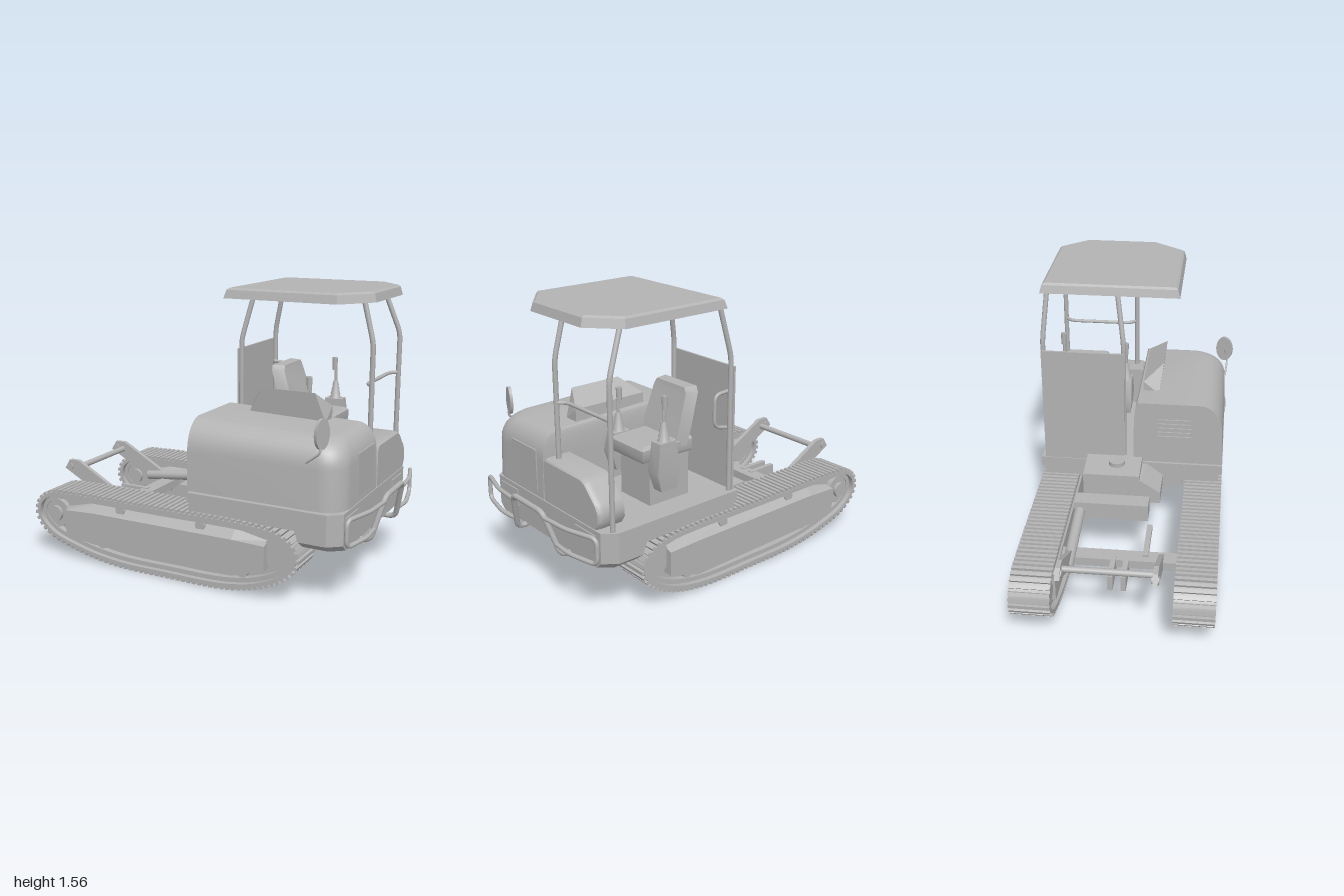
import * as THREE from 'three';
import { toCreasedNormals } from 'three/addons/utils/BufferGeometryUtils.js';

const V = (p) => new THREE.Vector3(...p);

export function createModel() {
  const root = new THREE.Group();
  const grey = new THREE.MeshStandardMaterial({ color: 0xb3b3b3 });
  grey.name = 'plain grey';

  const add = (name, geo, parent = root) => {
    const m = new THREE.Mesh(geo, grey);
    m.name = name;
    parent.add(m);
    return m;
  };
  // Box from its limits on each axis
  const box = (name, x0, x1, y0, y1, z0, z1) => {
    const m = add(name, new THREE.BoxGeometry(x1 - x0, y1 - y0, z1 - z0));
    m.position.set((x0 + x1) / 2, (y0 + y1) / 2, (z0 + z1) / 2);
    return m;
  };
  // Cylinder along z or y
  const cyl = (name, r, len, x, y, z, axis = 'z', parent = root, r2 = r) => {
    const g = new THREE.CylinderGeometry(r2, r, len, 24);
    if (axis === 'z') g.rotateX(Math.PI / 2);
    const m = add(name, g, parent);
    m.position.set(x, y, z);
    return m;
  };
  // Side profile (x, y) extruded from z0 to z1
  const plate = (name, pts, z0, z1) => {
    const s = new THREE.Shape(pts.map((p) => new THREE.Vector2(...p)));
    const m = add(name, new THREE.ExtrudeGeometry(s, { depth: z1 - z0, bevelEnabled: false }));
    m.position.z = z0;
    return m;
  };
  // Bent pipe with rounded corners
  const pipe = (name, r, pts, bend = 0.04) => {
    const path = new THREE.CurvePath(), v = pts.map(V);
    let from = v[0];
    for (let i = 1; i < v.length - 1; i++) {
      const toward = (q) => v[i].clone().add(q.clone().sub(v[i]).setLength(Math.min(bend, q.distanceTo(v[i]) * 0.45)));
      const a = toward(v[i - 1]), b = toward(v[i + 1]);
      path.add(new THREE.LineCurve3(from, a));
      path.add(new THREE.QuadraticBezierCurve3(a, v[i], b));
      from = b;
    }
    path.add(new THREE.LineCurve3(from, v[v.length - 1]));
    return add(name, new THREE.TubeGeometry(path, 14 * v.length, r, 10));
  };
  // Convex cross-sections joined into a closed solid
  const loft = (name, rings, crease = 0.5, parent = root) => {
    const n = rings[0].length, last = (rings.length - 1) * n, idx = [];
    for (let r = 0; r < rings.length - 1; r++)
      for (let i = 0; i < n; i++) {
        const a = r * n + i, b = r * n + (i + 1) % n;
        idx.push(a, b, b + n, a, b + n, a + n);
      }
    for (let i = 1; i < n - 1; i++) idx.push(0, i + 1, i, last, last + i, last + i + 1);
    const p = rings.flat().map(V);
    let vol = 0;
    for (let i = 0; i < idx.length; i += 3)
      vol += p[idx[i]].dot(p[idx[i + 1]].clone().cross(p[idx[i + 2]]));
    if (vol < 0) idx.reverse();
    const g = new THREE.BufferGeometry().setFromPoints(p);
    g.setIndex(idx);
    return add(name, toCreasedNormals(g, crease), parent);
  };
  const level = (pts, y) => pts.map(([x, z]) => [x, y, z]);

  // Tracks
  const course = new THREE.CatmullRomCurve3([
    [-0.76, 0.382], [-0.89, 0.37], [-0.97, 0.31], [-0.98, 0.22], [-0.9, 0.13], [-0.7, 0.06], [-0.45, 0.019],
    [-0.1, 0.014], [0.25, 0.022], [0.45, 0.065], [0.59, 0.14], [0.65, 0.225], [0.63, 0.305], [0.54, 0.365],
    [0.4, 0.385], [-0.2, 0.386]].map(([x, y]) => new THREE.Vector3(x, y, 0)), true);
  const loop = course.getSpacedPoints(120).slice(0, 120);
  const inward = (d) => loop.map((p, i) => {
    const t = course.getTangentAt(i / 120);
    return new THREE.Vector2(p.x - t.y * d, p.y + t.x * d);
  });
  const ring = (outer, inner, w) => {
    const s = new THREE.Shape(outer);
    if (inner) s.holes.push(new THREE.Path(inner));
    const g = new THREE.ExtrudeGeometry(s, { depth: w, bevelEnabled: false });
    g.translate(0, 0, -w / 2);
    return toCreasedNormals(g, 0.5);
  };
  const LUGS = 106;
  const lugGeo = new THREE.BoxGeometry(0.019, 0.018, 0.215);
  for (const [name, z] of [['frontTrack', 0.408], ['rearTrack', -0.433]]) {
    const track = new THREE.Group();
    track.name = name;
    track.position.z = z;
    root.add(track);
    add('trackBelt', ring(inward(0), inward(0.02), 0.215), track);
    add('trackGuideBand', ring(inward(0.02), inward(0.045), 0.16), track);
    add('trackWeb', ring(inward(0.04), null, 0.09), track);
    for (let i = 0; i < LUGS; i++) {
      const p = course.getPointAt(i / LUGS), t = course.getTangentAt(i / LUGS);
      const lug = add('trackLug', lugGeo, track);
      lug.position.set(p.x + t.y * 0.006, p.y - t.x * 0.006, 0);
      lug.rotation.z = Math.atan2(t.y, t.x);
    }
    // Frame with a sloping top that narrows towards the middle
    const section = (x, low, shoulder, top) => [[x, low, 0.1], [x, shoulder, 0.1], [x, top, 0.05],
      [x, top, -0.05], [x, shoulder, -0.1], [x, low, -0.1]];
    loft('trackFrame', [section(-0.79, 0.125, 0.28, 0.29), section(-0.6, 0.105, 0.29, 0.338),
      section(0.28, 0.09, 0.29, 0.335), section(0.47, 0.15, 0.285, 0.3)], 0.1, track);
    for (const x of [-0.43, 0.08]) cyl('carrierRoller', 0.028, 0.16, x, 0.325, 0, 'z', track);
    for (let i = 0; i < 6; i++) cyl('trackRoller', 0.035, 0.15, -0.56 + i * 0.178, 0.115, 0, 'z', track);
    cyl('sprocket', 0.085, 0.15, -0.87, 0.245, 0, 'z', track);
    cyl('sprocketHub', 0.045, 0.19, -0.87, 0.245, 0, 'z', track);
    cyl('idler', 0.09, 0.13, 0.54, 0.25, 0, 'z', track);
  }

  // Undercarriage and blade arms
  box('crossBeam', -0.62, -0.53, 0.235, 0.285, -0.33, 0.31);
  box('centreFrame', 0.08, 0.66, 0.31, 0.4, -0.3, 0.28);
  for (const z of [-0.045, 0.025]) box('beamLug', -0.77, -0.58, 0.2, 0.29, z - 0.014, z + 0.014);
  const arm = [[-1, 0.43], [-0.965, 0.485], [-0.9, 0.485], [-0.6, 0.32], [-0.54, 0.28], [-0.56, 0.21], [-0.62, 0.23]];
  for (const z of [-0.28, 0.21]) {
    plate('bladeArm', arm, z - 0.013, z + 0.013);
    cyl('armPin', 0.02, 0.04, -0.96, 0.445, z);
  }
  cyl('bladeRod', 0.017, 0.49, -0.915, 0.44, -0.035);
  const ram = cyl('bladeCylinder', 0.03, 0.45, -0.5, 0.32, -0.278, 'y');
  ram.rotation.z = Math.PI / 2 + 0.12;
  box('bladeHose', -0.58, -0.3, 0.27, 0.3, 0.11, 0.14);
  box('pivotBlock', -0.27, -0.17, 0.3, 0.4, -0.31, 0.11);
  plate('swingBlock', [[-0.17, 0.36], [0.03, 0.36], [0.03, 0.545], [-0.17, 0.53]], -0.27, 0.05);
  const swingSide = [[-0.17, 0.04], [0.03, -0.02], [0.03, 0.17], [-0.17, 0.17]];
  loft('swingBlockSide', [level(swingSide, 0.36), level(swingSide, 0.43), level([[-0.17, 0.04], [0.03, -0.02], [0.03, 0.08], [-0.17, 0.06]], 0.5)]);
  cyl('swingCap', 0.047, 0.04, -0.05, 0.54, -0.09, 'y');

  // Deck and rear weight
  const plan = (x0, d) => [[x0, -0.545 + d], [0.81, -0.545 + d], [0.88, -0.49 + d], [0.88, 0.46 - d], [0.81, 0.515 - d], [x0, 0.515 - d]];
  loft('deck', [level(plan(0.02, 0), 0.455), level(plan(0.02, 0), 0.51)], 0.1);
  loft('deckUnderside', [level(plan(0.02, 0.02), 0.395), level(plan(0.02, 0.02), 0.455)], 0.1);
  loft('rearWeight', [level(plan(0.67, 0.04), 0.31), level(plan(0.66, 0), 0.345), level(plan(0.62, 0), 0.455)], 0.1);
  for (const [a, b] of [[0.265, 0.435], [-0.45, -0.28]]) box('rearLamp', 0.878, 0.886, 0.385, 0.485, a, b);

  // Engine hood with rounded shoulders
  const hoodRing = (y, dx, dz, di, top) => {
    const x1 = 0.885 - dx, z1 = 0.513 - dz, r = 0.13, p = [[0.02, 0.0 + di], [0.02, z1]];
    for (let i = 0; i <= 8; i++) {
      const a = Math.PI / 2 * (1 - i / 8);
      p.push([x1 - r + r * Math.cos(a), z1 - r + r * Math.sin(a)]);
    }
    p.push([x1, 0.0 + di]);
    return p.map(([x, z]) => [x, y + top * 0.025 * (0.88 - x) / 0.86, z]);
  };
  const hood = [hoodRing(0.52, 0, 0, 0, 0), hoodRing(0.73, 0.005, 0.008, 0, 0)];
  for (let i = 1; i <= 8; i++) {
    const a = i / 8 * Math.PI / 2, c = 1 - Math.cos(a);
    hood.push(hoodRing(0.73 + 0.145 * Math.sin(a), 0.005 + 0.1 * c, 0.008 + 0.12 * c, 0.02 * c, i / 8));
  }
  loft('engineHood', hood, 0.6);
  box('hoodDoor', 0.88, 0.888, 0.55, 0.78, 0.055, 0.29);
  for (let i = 0; i < 5; i++) box('hoodLouver', 0.012, 0.021, 0.68 + i * 0.027, 0.695 + i * 0.027, 0.14, 0.33);
  // Low cowl beside the hood
  const cowl = [[0, 0.52], [0, 0.735], [-0.02, 0.755], [-0.34, 0.755], [-0.38, 0.74], [-0.47, 0.65], [-0.49, 0.61], [-0.49, 0.56], [-0.465, 0.52]];
  loft('sideCowl', [[0.73, 1], [0.85, 1], [0.875, 0.985], [0.885, 0.95]].map(([x, s]) =>
    cowl.map(([z, y]) => [x, 0.52 + (y - 0.52) * s, -0.24 + (z + 0.24) * s])), 0.6);
  // Control cover leaning on the hood
  const cover = [[0.13, 0.875], [0.15, 1.032], [0.04, 0.95], [0.035, 0.8]];
  loft('sideCover', [[0.19, 0.28], [0.64, 0.585]].map(([low, peak]) =>
    cover.map(([z, y], i) => [i === 1 ? peak : low, y, z])), 0.1);

  // Seat
  box('seatPedestal', 0.24, 0.5, 0.51, 0.76, -0.4, -0.16);
  loft('seatCushion', [[0.76, 0.01], [0.78, 0], [0.83, 0], [0.845, 0.02]].map(([y, d]) =>
    level([[0.24, -0.43 + d], [0.56 - d, -0.42 + d], [0.56 - d, -0.15 - d], [0.24, -0.14 - d]], y)));
  loft('seatBack', [[0.8, 0.28, 0.15], [0.9, 0.255, 0.155], [1.07, 0.2, 0.142], [1.1, 0.195, 0.125]].map(([y, x, w]) =>
    level([[x, -0.285 - w], [x + 0.07, -0.285 - w + 0.015], [x + 0.07, -0.285 + w - 0.015], [x, -0.285 + w]], y)));

  // Control consoles and levers
  for (const [z, h] of [[-0.09, -0.05], [-0.465, 0]]) {
    loft('console', [[0.62, 0.4, 0.5, 0.03], [0.72, 0.38, 0.53, 0.04], [0.88 + h, 0.41, 0.51, 0.035]].map(([y, a, b, w]) =>
      level([[a, z - w], [b, z - w], [b, z + w], [a, z + w]], y)));
    for (let i = 0; i < 4; i++) cyl('leverBoot', 0.034 - i * 0.005, 0.026, 0.46, 0.89 + h + i * 0.026, z, 'y', root, 0.024 - i * 0.004);
    pipe('lever', 0.009, [[0.46, 0.95 + h, z], [0.46, 1.03 + h, z], [0.45, 1.12 + h, z]]);
    cyl('leverGrip', 0.014, 0.07, 0.452, 1.08 + h, z, 'y', root, 0.017);
  }

  // Cab: back panel, posts, rails and roof
  box('backPanel', 0.025, 0.037, 0.51, 1.195, -0.52, -0.055);
  for (const [z, frontTop, rearTop, rearX] of [[-0.06, -0.1, -0.065, 0.755], [-0.51, -0.485, -0.48, 0.725]]) {
    pipe('frontPost', 0.014, [[0.05, 0.51, z], [0.05, 1.25, z], [0.115, 1.53, frontTop]]);
    pipe('rearPost', 0.014, [[0.82, 0.51, z], [0.82, 1.28, z], [rearX, 1.53, rearTop]]);
  }
  pipe('crossRail', 0.01, [[0.82, 1.055, -0.065], [0.78, 1.055, -0.1], [0.78, 1.055, -0.47], [0.82, 1.055, -0.51]]);
  pipe('grabRail', 0.01, [[0.05, 1.06, -0.49], [0.14, 1.055, -0.49], [0.14, 0.88, -0.49], [0.05, 0.86, -0.49]]);
  const roofPlan = (d) => [[0.095 + d, -0.525 + d], [0.73 - d / 2, -0.525 + d], [0.87 - d, -0.37 + d / 2], [0.87 - d, 0.06 - d / 2], [0.73 - d / 2, 0.243 - d], [0.095 + d, 0.243 - d]];
  loft('roof', [level(roofPlan(0.012), 1.525), level(roofPlan(0), 1.508), level(roofPlan(0.012), 1.552), level(roofPlan(0.025), 1.562)], 0.35);

  // Mirror, turned a little towards the front
  const mirror = new THREE.Group();
  mirror.name = 'mirror';
  mirror.position.set(0.768, 0.912, 0.495);
  mirror.rotation.y = -0.3;
  root.add(mirror);
  const glass = cyl('mirrorDisc', 0.052, 0.016, 0, 0, 0, 'y', mirror);
  glass.scale.x = 1.5;
  glass.rotation.z = Math.PI / 2;
  pipe('mirrorArm', 0.006, [[0.758, 0.912, 0.5], [0.77, 0.82, 0.515], [0.69, 0.76, 0.505]], 0.02);

  // Rear guard rails
  pipe('centreGuard', 0.015, [[0.76, 0.305, 0.21], [0.93, 0.3, 0.205], [0.985, 0.53, 0.14], [0.985, 0.53, -0.14], [0.93, 0.3, -0.215], [0.76, 0.305, -0.215]]);
  for (const s of [1, -1])
    pipe('sideGuard', 0.012, [[0.98, 0.5, s * 0.15], [0.97, 0.5, s * 0.32], [0.915, 0.5, s * 0.51], [0.915, 0.36, s * 0.51], [0.955, 0.36, s * 0.32], [0.945, 0.36, s * 0.19]]);
  return root;
}
